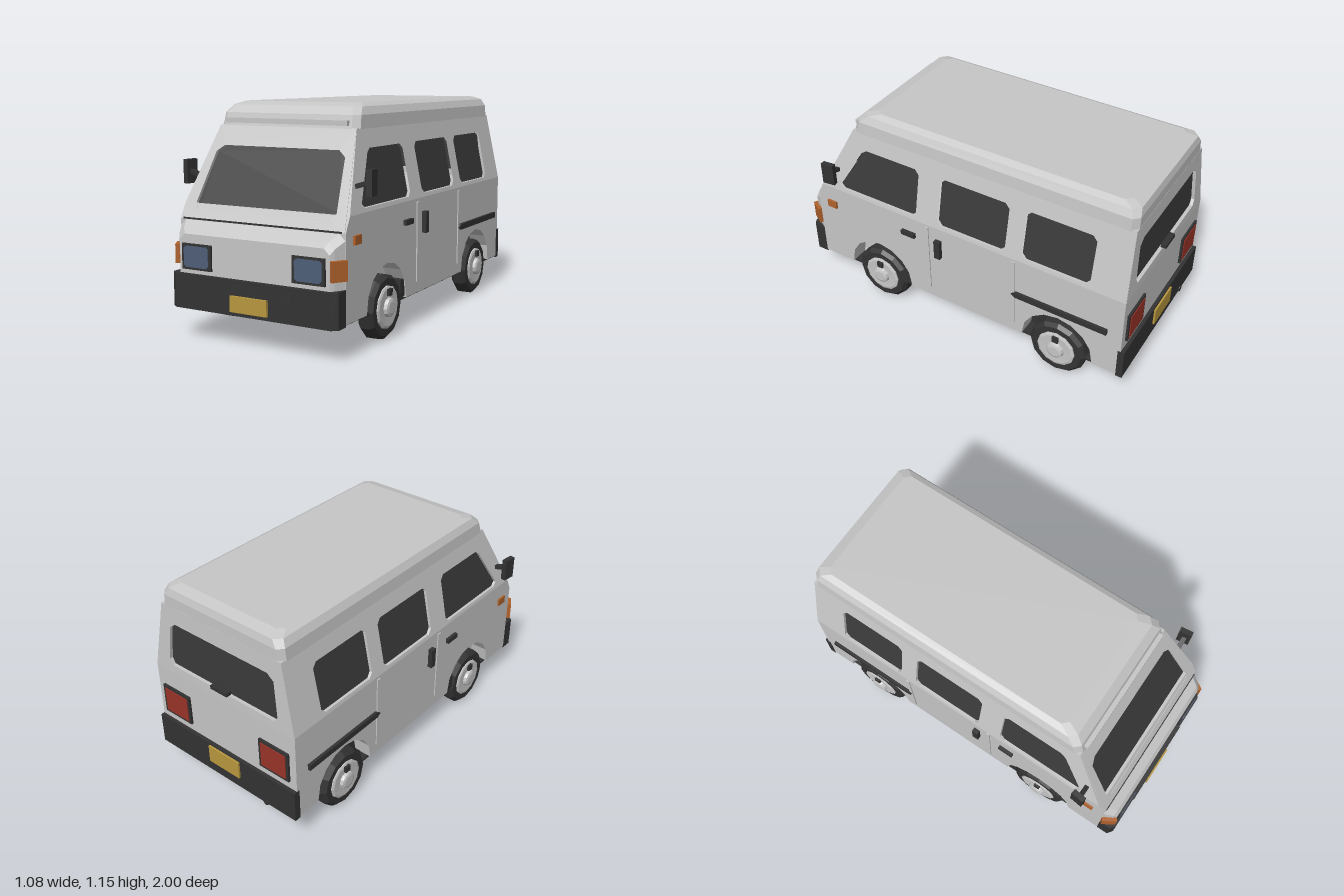
import * as THREE from 'three';

const mat = (name, color) => { const m = new THREE.MeshStandardMaterial({ color }); m.name = name; return m; };

export function createModel() {
  const paint = mat('bodyGrey', 0xc6c6c6), glass = mat('glassDark', 0x3a3a3a), trim = mat('trimBlack', 0x333333);
  const red = mat('tailRed', 0x9a3428), orange = mat('indicatorOrange', 0xb0622c);
  const yellow = mat('plateYellow', 0xb8973e), blue = mat('lampBlue', 0x4e5e78);
  const van = new THREE.Group();
  van.name = 'van';

  const add = (name, geo, material, parent = van) => {
    const m = new THREE.Mesh(geo, material);
    m.name = name;
    parent.add(m);
    return m;
  };
  // Box given by its extents on each axis
  const box = (name, [x0, x1], [y0, y1], [z0, z1], material) => {
    const m = add(name, new THREE.BoxGeometry(Math.abs(x1 - x0), y1 - y0, Math.abs(z1 - z0)), material);
    m.position.set((x0 + x1) / 2, (y0 + y1) / 2, (z0 + z1) / 2);
    return m;
  };
  const poly = pts => new THREE.Shape(pts.map(p => new THREE.Vector2(...p)));
  const cut = (x0, x1, y0, y1, c) => [[x0 + c, y0], [x1 - c, y0], [x1, y0 + c], [x1, y1 - c],
    [x1 - c, y1], [x0 + c, y1], [x0, y1 - c], [x0, y0 + c]];
  // Extruded wall: leans with height, then turns to face its side
  const panel = (name, shape, front, depth, lean, angle, material) => {
    const g = new THREE.ExtrudeGeometry(shape, { depth, bevelEnabled: false, curveSegments: 8 });
    const p = g.attributes.position;
    for (let i = 0; i < p.count; i++) p.setZ(i, p.getZ(i) - depth + front + lean(p.getY(i)));
    g.rotateY(angle);
    g.computeVertexNormals();
    return add(name, g, material);
  };
  // Flat-faced skin over rings of equal length, capped at both ends
  const loft = rings => {
    const v = [], n = rings[0].length, tri = (...t) => t.forEach(p => v.push(...p));
    for (let r = 0; r + 1 < rings.length; r++) for (let i = 0; i < n; i++) {
      const j = (i + 1) % n, [a, b, c, d] = [rings[r][i], rings[r][j], rings[r + 1][j], rings[r + 1][i]];
      tri(a, b, c); tri(a, c, d);
    }
    const first = rings[0], last = rings[rings.length - 1];
    for (let i = 1; i + 1 < n; i++) { tri(first[0], first[i + 1], first[i]); tri(last[0], last[i], last[i + 1]); }
    const g = new THREE.BufferGeometry();
    g.setAttribute('position', new THREE.Float32BufferAttribute(v, 3));
    g.computeVertexNormals();
    return g;
  };
  const plan = (y, w, zf, zb, c) => [[w - c, y, zf], [w, y, zf - c], [w, y, zb + c], [w - c, y, zb],
    [c - w, y, zb], [-w, y, zb + c], [-w, y, zf - c], [c - w, y, zf]];

  // Lower body with wheel arches
  const wheelZ = [0.5, -0.615];
  const low = new THREE.Shape();
  low.moveTo(-0.90, 0.17);
  for (const z of wheelZ) {
    low.lineTo(-z - 0.205, 0.17);
    for (let i = 1; i < 8; i++) {
      const a = Math.PI * (1 - i / 8);
      low.lineTo(-z + 0.205 * Math.cos(a), 0.18 + 0.205 * Math.sin(a));
    }
    low.lineTo(-z + 0.205, 0.17);
  }
  [[0.97, 0.17], [0.97, 0.66], [-0.863, 0.66], [-0.90, 0.587]].forEach(p => low.lineTo(...p));
  panel('lowerBody', low, 0.47, 0.94, () => 0, Math.PI / 2, paint);
  box('floor', [-0.455, 0.455], [0.16, 0.172], [-0.96, 0.93], trim);
  wheelZ.forEach((z, i) => box('wheelWell', [-0.37, 0.37], [0.165, 0.42], [z - 0.22, z + 0.22], i ? trim : paint));

  // Nose
  const noseRing = (z, w, top, c) => [[w, 0.17, z], [w, top - c, z], [w - c, top, z],
    [c - w, top, z], [-w, top - c, z], [-w, 0.17, z]];
  add('nose', loft([noseRing(0.895, 0.47, 0.587, 0.03), noseRing(0.95, 0.44, 0.55, 0.03), noseRing(0.966, 0.425, 0.525, 0.03)]), paint);
  box('cowlSeam', [-0.45, 0.45], [0.586, 0.594], [0.88, 0.905], trim);

  // Cabin walls with recessed glass
  const sideLean = y => -(y - 0.66) * 0.205, rearLean = y => -(y - 0.66) * 0.04;
  const screenLean = y => -(y - 0.59) * 0.525;
  const windows = [
    [[0.715, 0.68], [0.74, 0.70], [0.605, 0.925], [0.575, 0.945], [0.265, 0.945], [0.24, 0.92], [0.24, 0.705], [0.265, 0.68]],
    cut(-0.30, 0.105, 0.68, 0.945, 0.025), cut(-0.775, -0.395, 0.68, 0.945, 0.025)];
  for (const s of [1, -1]) {
    const flip = pts => pts.map(([z, y]) => [-s * z, y]);
    const wall = poly(flip([[0.863, 0.66], [0.664, 1.04], [-0.955, 1.04], [-0.97, 0.66]]));
    wall.holes = windows.map(w => new THREE.Path(poly(flip(w)).getPoints()));
    panel('cabinSide', wall, 0.47, 0.04, sideLean, s * Math.PI / 2, paint);
    windows.forEach(w => panel('sideWindow', poly(flip(w)), 0.455, 0.008, sideLean, s * Math.PI / 2, glass));
  }
  const endWall = (name, y0, w0, pane, front, lean, angle) => {
    const wall = poly([[-w0, y0], [w0, y0], [0.392, 1.04], [-0.392, 1.04]]);
    wall.holes = [new THREE.Path(poly(pane).getPoints())];
    panel(name + 'Frame', wall, front, 0.035, lean, angle, paint);
    panel(name, poly(pane), front - 0.018, 0.008, lean, angle, glass);
  };
  const pane = (b, t, y0, y1) => [[0.02 - b, y0], [b - 0.02, y0], [b, y0 + 0.03], [t, y1 - 0.03],
    [t - 0.04, y1], [0.04 - t, y1], [-t, y1 - 0.03], [-b, y0 + 0.03]];
  endWall('windscreen', 0.588, 0.465, pane(0.40, 0.37, 0.635, 0.94), 0.902, screenLean, 0);
  endWall('rearWindow', 0.655, 0.468, pane(0.365, 0.345, 0.70, 0.95), 0.971, rearLean, Math.PI);
  box('tailgateHandle', [-0.055, 0.055], [0.705, 0.725], [-0.99, -0.96], trim);

  // Raised roof
  add('roof', loft([plan(1.035, 0.398, 0.668, -0.955, 0.03), plan(1.10, 0.392, 0.65, -0.955, 0.03),
    plan(1.138, 0.372, 0.61, -0.945, 0.035), plan(1.155, 0.34, 0.545, -0.89, 0.03)]), paint);
  box('roofLip', [-0.35, 0.35], [1.05, 1.075], [0.64, 0.68], paint);

  // Bumpers and number plates
  add('frontBumper', loft([0.16, 0.332].map(y => [[0.44, y, 0.987], [0.47, y, 0.965], [0.47, y, 0.90],
    [-0.47, y, 0.90], [-0.47, y, 0.965], [-0.44, y, 0.987]])), trim);
  for (let i = 0; i < 4; i++) box('bumperSlat', [-0.245, 0.245], [0.25 + i * 0.015, 0.258 + i * 0.015], [0.98, 0.991], trim);
  box('frontPlate', [-0.105, 0.105], [0.18, 0.258], [0.985, 1.0], yellow);
  box('rearBumper', [-0.472, 0.472], [0.16, 0.335], [-0.99, -0.955], trim);
  box('rearPlate', [-0.105, 0.105], [0.225, 0.325], [-1.0, -0.985], yellow);
  const exhaust = add('exhaust', new THREE.CylinderGeometry(0.018, 0.018, 0.12, 10).rotateX(Math.PI / 2), trim);
  exhaust.position.set(-0.28, 0.17, -0.935);

  // Wheel turned from a profile, its outer face at x = 0
  const turn = pts => {
    const g = new THREE.LatheGeometry(pts.map(p => new THREE.Vector2(...p)), 12).rotateZ(-Math.PI / 2).toNonIndexed();
    g.computeVertexNormals();
    return g;
  };
  const tyre = turn([[0, -0.09], [0.14, -0.09], [0.163, -0.07], [0.163, -0.02], [0.145, 0], [0.112, 0], [0.10, -0.012], [0, -0.012]]);
  const hub = turn([[0.108, -0.02], [0.108, 0.003], [0.095, 0.008], [0.05, 0.006], [0.045, 0.022], [0.03, 0.027], [0, 0.027]]);

  // Parts repeated on both sides
  for (const s of [1, -1]) {
    const sx = (a, b) => [s * a, s * b];
    for (const z of wheelZ) {
      const w = new THREE.Group();
      w.name = 'wheel';
      add('tyre', tyre, trim, w);
      add('hub', hub, paint, w);
      add('hubMark', new THREE.BoxGeometry(0.016, 0.034, 0.034), trim, w).position.set(0.013, 0.077, 0);
      w.position.set(s * 0.47, 0.165, z);
      w.rotation.y = s > 0 ? 0 : Math.PI;
      van.add(w);
    }
    box('mudFlap', sx(0.38, 0.465), [0.18, 0.27], [0.30, 0.35], trim);

    box('headlampFrame', sx(0.23, 0.405), [0.353, 0.48], [0.955, 0.976], trim);
    panel('headlamp', poly(cut(s * 0.318 - 0.073, s * 0.318 + 0.073, 0.365, 0.469, 0.012)), 0.98, 0.006, () => 0, 0, blue);
    box('tailLampFrame', sx(0.24, 0.43), [0.38, 0.548], [-0.982, -0.96], trim);
    box('tailLamp', sx(0.255, 0.415), [0.395, 0.533], [-0.986, -0.978], red);
    const ind = add('cornerIndicator', new THREE.BoxGeometry(0.078, 0.095, 0.026), orange);
    ind.position.set(s * 0.455, 0.423, 0.938);
    ind.rotation.y = s * 1.0;

    box('sideMarker', sx(0.465, 0.481), [0.525, 0.568], [0.775, 0.835], orange);
    box('doorHandle', sx(0.465, 0.488), [0.543, 0.57], [0.245, 0.33], trim);
    box('slidingDoorHandle', sx(0.465, 0.494), [0.475, 0.587], [0.08, 0.115], trim);
    for (const z of [0.17, -0.355]) box('doorSeam', sx(0.465, 0.476), [0.23, 0.645], [z - 0.011, z + 0.011], paint);
    const rail = [[-0.35, 0.435], [-0.375, 0.452], [-0.89, 0.452], [-0.89, 0.42], [-0.375, 0.42]];
    panel('doorRail', poly(rail.map(([z, y]) => [-s * z, y])), 0.486, 0.02, () => 0, s * Math.PI / 2, trim);

    // Door mirror on its arm
    const arm = add('mirrorArm', new THREE.BoxGeometry(0.11, 0.022, 0.024), trim);
    arm.position.set(s * 0.465, 0.79, 0.76);
    arm.rotation.z = -s * -0.3;
    const mirror = box('mirror', sx(0.508, 0.536), [0.743, 0.865], [0.72, 0.79], trim);
    mirror.rotation.y = s * 0.12;
  }
  return van;
}
